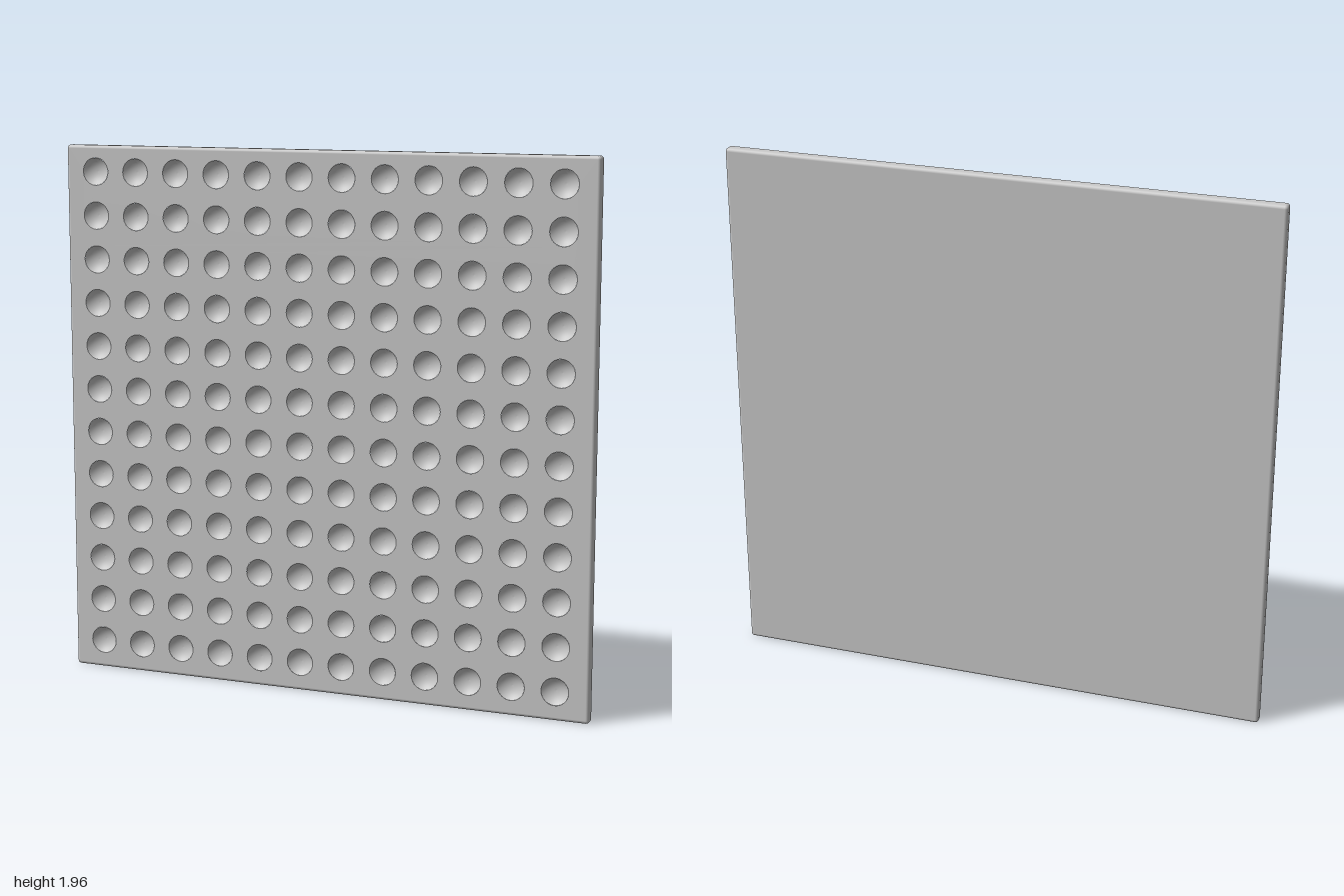
import * as THREE from 'three';
import { mergeGeometries } from 'three/addons/utils/BufferGeometryUtils.js';

const HW = 1, HH = 0.98, HT = 0.022; // panel half sizes
const EDGE = 0.012;                  // edge rounding
const COUNT = 12, PITCH = 0.16, DIMPLE_R = 0.05, DIMPLE_D = 0.021, SIDES = 24;

// Centres of the dimples, relative to the panel centre
function dimpleCentres() {
  const list = [];
  for (let j = 0; j < COUNT; j++) {
    for (let i = 0; i < COUNT; i++) {
      list.push([(i - (COUNT - 1) / 2) * PITCH - 0.003, (j - (COUNT - 1) / 2) * PITCH + 0.005]);
    }
  }
  return list;
}

// Rounded rim: loops round the panel, stacked from back to front
function rimGeometry() {
  const pos = [], nor = [], index = [];
  const steps = 4, corner = 4;
  const signs = [[1, 1], [-1, 1], [-1, -1], [1, -1]];
  const ring = 4 * (corner + 1);
  const levels = 2 * (steps + 1);
  for (let l = 0; l < levels; l++) {
    const front = l > steps;
    const t = (front ? (l - steps - 1) / steps : l / steps - 1) * Math.PI / 2;
    const c = Math.cos(t), s = Math.sin(t);
    const z = (front ? 1 : -1) * (HT - EDGE) + EDGE * s;
    signs.forEach(([sx, sy], q) => {
      for (let k = 0; k <= corner; k++) {
        const a = (q + k / corner) * Math.PI / 2;
        const nx = Math.cos(a) * c, ny = Math.sin(a) * c;
        pos.push(sx * (HW - EDGE) + EDGE * nx, sy * (HH - EDGE) + EDGE * ny, z);
        nor.push(nx, ny, s);
      }
    });
  }
  for (let l = 0; l < levels - 1; l++) {
    for (let i = 0; i < ring; i++) {
      const a = l * ring + i, b = l * ring + (i + 1) % ring;
      index.push(a, b, b + ring, a, b + ring, a + ring);
    }
  }
  const g = new THREE.BufferGeometry();
  g.setAttribute('position', new THREE.Float32BufferAttribute(pos, 3));
  g.setAttribute('normal', new THREE.Float32BufferAttribute(nor, 3));
  g.setIndex(index);
  return g;
}

// Flat front with a round opening for every dimple
function frontGeometry(centres) {
  const w = HW - EDGE, h = HH - EDGE;
  const shape = new THREE.Shape();
  shape.moveTo(-w, -h).lineTo(w, -h).lineTo(w, h).lineTo(-w, h).closePath();
  for (const [x, y] of centres) {
    shape.holes.push(new THREE.Path().absarc(x, y, DIMPLE_R, 0, Math.PI * 2, true));
  }
  return new THREE.ShapeGeometry(shape, SIDES).translate(0, 0, HT);
}

// Shallow spherical bowls set into the front
function dimpleGeometry(centres) {
  const R = (DIMPLE_R ** 2 + DIMPLE_D ** 2) / (2 * DIMPLE_D);
  const open = Math.asin(DIMPLE_R / R);
  const profile = [];
  for (let i = 0; i <= 6; i++) {
    const a = open * (1 - i / 6);
    profile.push(new THREE.Vector2(R * Math.sin(a), R - DIMPLE_D - R * Math.cos(a)));
  }
  const bowl = new THREE.LatheGeometry(profile, SIDES).rotateX(Math.PI / 2);
  return mergeGeometries(centres.map(([x, y]) => bowl.clone().translate(x, y, HT)));
}

export function createModel() {
  const group = new THREE.Group();
  group.name = 'dimpledPanel';
  const material = new THREE.MeshStandardMaterial({ color: 0xcccccc });
  const centres = dimpleCentres();
  const add = (name, geometry) => {
    const mesh = new THREE.Mesh(geometry, material);
    mesh.name = name;
    mesh.position.y = HH;
    group.add(mesh);
  };
  add('rim', rimGeometry());
  add('frontFace', frontGeometry(centres));
  add('dimples', dimpleGeometry(centres));
  add('backFace', new THREE.PlaneGeometry(2 * (HW - EDGE), 2 * (HH - EDGE))
    .rotateY(Math.PI).translate(0, 0, -HT));
  return group;
}
